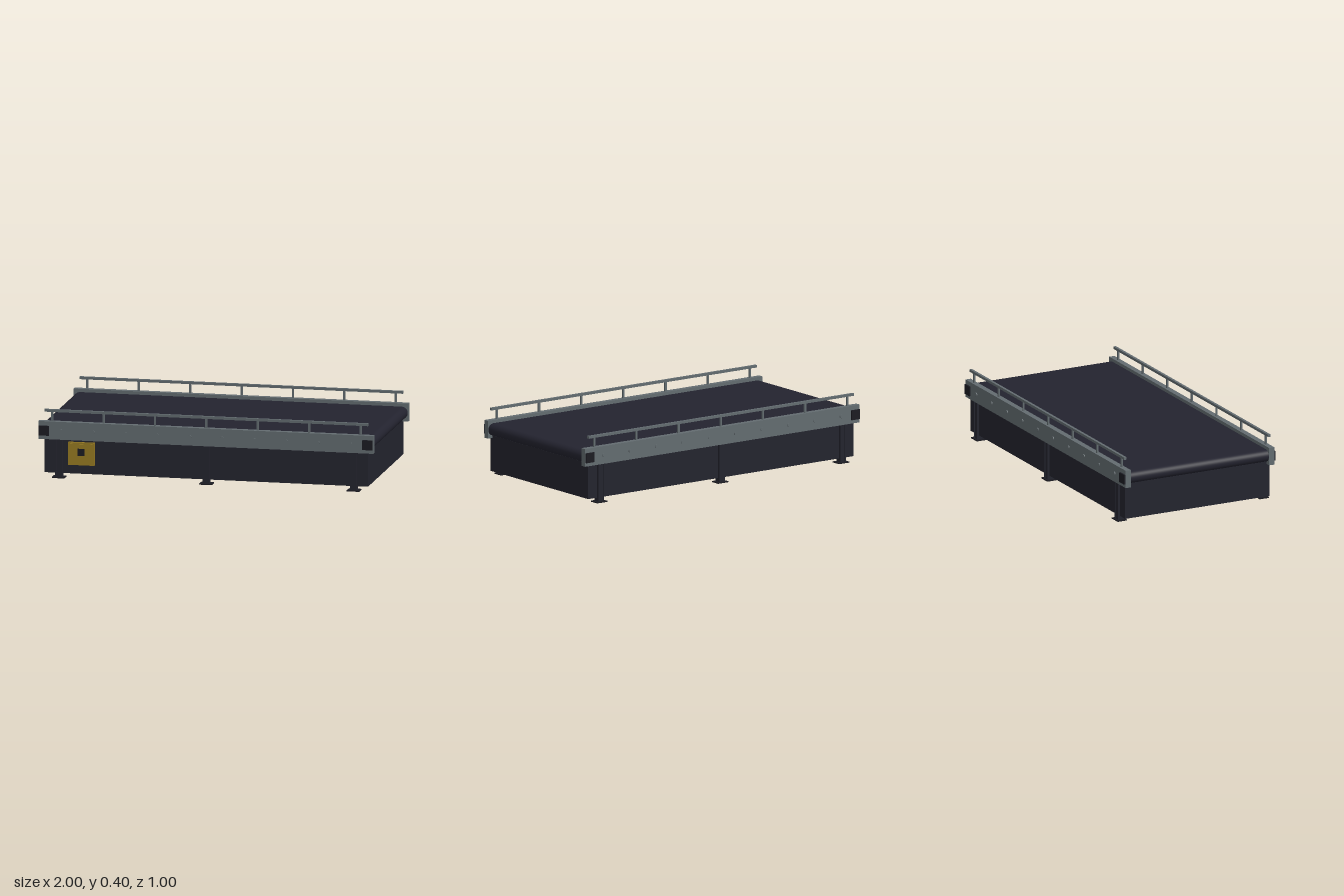
import * as THREE from 'three';

export function createModel() {
  const model = new THREE.Group();
  model.name = 'beltConveyor';

  const mat = (name, color) => {
    const m = new THREE.MeshStandardMaterial({ color });
    m.name = name;
    return m;
  };
  const dark = mat('darkFrame', 0x23242e);
  const rubber = mat('beltRubber', 0x23232f);
  const black = mat('blackTrim', 0x1b1b22);
  const steel = mat('steelGrey', 0x636c70);
  const yellow = mat('warningYellow', 0x977a22);

  // box given by its centre and size
  const box = (parent, name, material, [x, y, z], [w, h, d]) => {
    const m = new THREE.Mesh(new THREE.BoxGeometry(w, h, d), material);
    m.name = name;
    m.position.set(x, y, z);
    parent.add(m);
    return m;
  };

  // belt carried between two end drums
  box(model, 'belt', rubber, [0, 0.302, 0], [1.92, 0.026, 0.92]);
  for (const s of [-1, 1]) {
    const drum = new THREE.Mesh(new THREE.CylinderGeometry(0.036, 0.036, 0.92, 32), rubber);
    drum.name = 'endDrum';
    drum.rotation.x = Math.PI / 2;
    drum.position.set(s * 0.96, 0.279, 0);
    model.add(drum);
    // end panel below the drum
    box(model, 'endPanel', dark, [s * 0.96, 0.135, 0], [0.01, 0.214, 0.95]);
  }

  // each long side
  for (const s of [-1, 1]) {
    const side = new THREE.Group();
    side.name = s > 0 ? 'frontSide' : 'backSide';
    model.add(side);

    box(side, 'sideRail', steel, [0, 0.281, s * 0.473], [2, 0.106, 0.034]);
    box(side, 'skirtPanel', dark, [0, 0.13, s * 0.47], [1.91, 0.204, 0.01]);

    // bearing covers at the drum axles
    for (const e of [-1, 1]) {
      box(side, 'bearingCover', black, [e * 0.966, 0.279, s * 0.494], [0.06, 0.058, 0.011]);
    }

    // bolt heads along the rail
    for (let i = 0; i < 10; i++) {
      const bolt = new THREE.Mesh(new THREE.CylinderGeometry(0.011, 0.011, 0.008, 6), steel);
      bolt.name = 'railBolt';
      bolt.rotation.x = Math.PI / 2;
      bolt.position.set(-0.864 + i * 0.192, 0.281, s * 0.492);
      side.add(bolt);
    }

    // guard rail on short posts
    box(side, 'guardBar', steel, [0, 0.397, s * 0.474], [1.932, 0.015, 0.016]);
    for (let i = -3; i <= 3; i++) {
      box(side, 'guardPost', steel, [i * 0.307, 0.362, s * 0.474], [0.012, 0.06, 0.01]);
    }

    // channel legs with foot plates
    for (const x of [-0.88, 0, 0.88]) {
      const leg = new THREE.Group();
      leg.name = 'leg';
      leg.position.x = x;
      side.add(leg);
      box(leg, 'legWeb', dark, [0, 0.117, s * 0.469], [0.03, 0.226, 0.032]);
      for (const e of [-1, 1]) {
        box(leg, 'legFlange', dark, [e * 0.017, 0.117, s * 0.469], [0.006, 0.226, 0.04]);
      }
      box(leg, 'footPlate', black, [0, 0.003, s * 0.468], [0.075, 0.006, 0.062]);
    }
  }

  // control cabinet on the front
  const cabinet = new THREE.Group();
  cabinet.name = 'controlCabinet';
  cabinet.position.set(-0.743, 0.149, 0);
  model.add(cabinet);
  box(cabinet, 'cabinetBody', yellow, [0, 0, 0.483], [0.156, 0.135, 0.018]);
  box(cabinet, 'cabinetDoor', yellow, [0, 0, 0.493], [0.136, 0.118, 0.008]);
  box(cabinet, 'cabinetSwitch', black, [0, 0.011, 0.497], [0.042, 0.042, 0.006]);

  return model;
}
